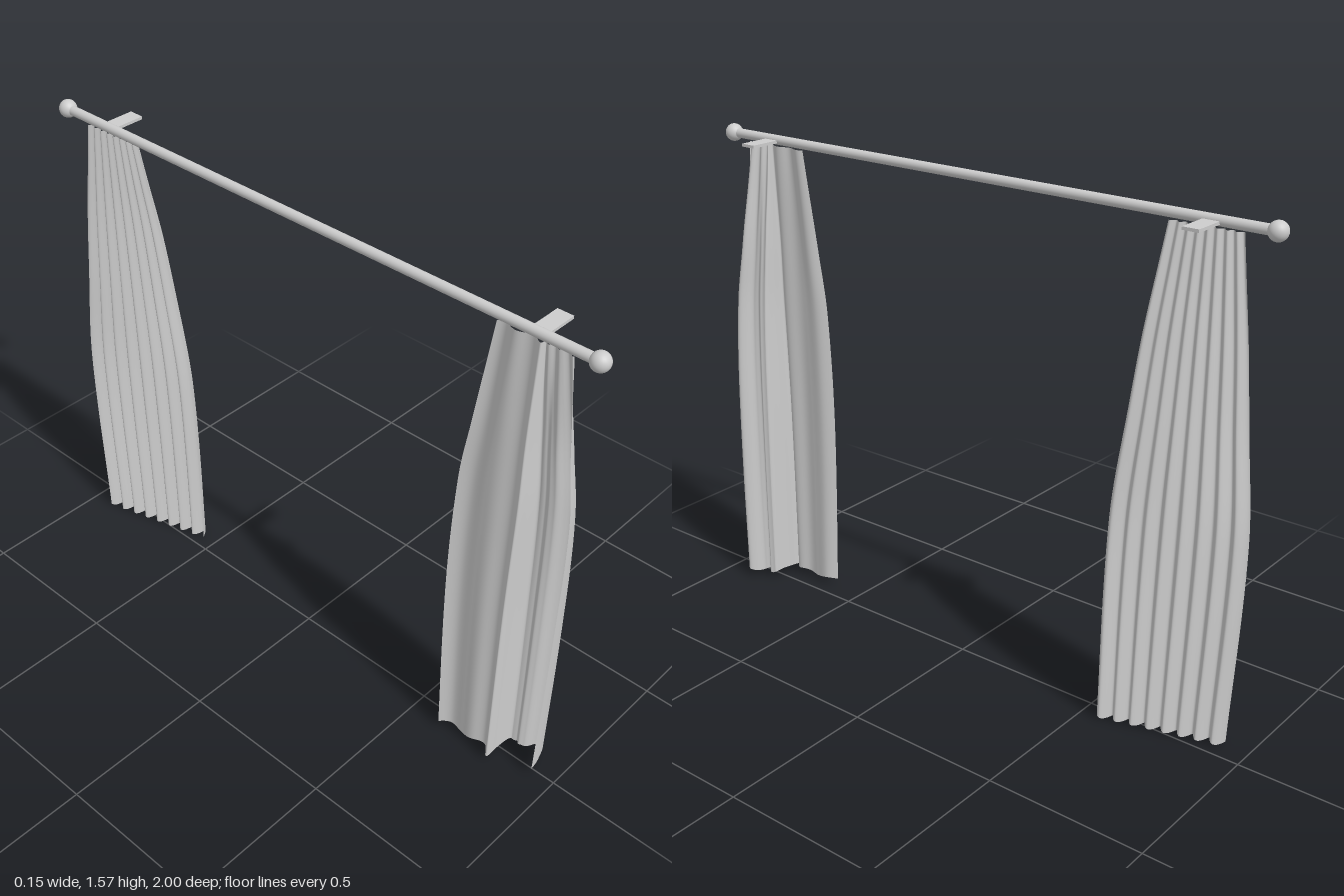
import * as THREE from 'three';

const ROD_X = -0.035, ROD_Y = 1.54;

// smooth curve through a few [position, value] pairs
function profile(pairs) {
  return (p) => {
    let i = 0;
    while (i < pairs.length - 2 && p > pairs[i + 1][0]) i++;
    const [p0, v0] = pairs[i], [p1, v1] = pairs[i + 1];
    const t = THREE.MathUtils.clamp((p - p0) / (p1 - p0), 0, 1);
    const slope = (k) => {
      const a = pairs[Math.max(k - 1, 0)], b = pairs[Math.min(k + 1, pairs.length - 1)];
      return (b[1] - a[1]) / (b[0] - a[0]) * (p1 - p0);
    };
    const t2 = t * t, t3 = t2 * t;
    return v0 * (2 * t3 - 3 * t2 + 1) + slope(i) * (t3 - 2 * t2 + t)
      + v1 * (3 * t2 - 2 * t3) + slope(i + 1) * (t3 - t2);
  };
}

// hanging sheet: edges give z by height, plan gives the folds in x along the hem
function curtain(name, { inner, outer, plan, hem, folds, ripple }, material) {
  const zIn = profile(inner), zOut = profile(outer);
  const x = new THREE.CatmullRomCurve3(plan.map(([z, px]) => new THREE.Vector3(px, 0, z)));
  const z0 = plan[0][0], z1 = plan[plan.length - 1][0];
  const spread = profile([[0, 1], [0.4, 0.95], [0.8, 0.82], [1.2, 0.5], [1.4, 0.22], [1.52, 0.06]]);
  const nu = 140, nv = 40, pos = [], index = [];
  for (let j = 0; j <= nv; j++) {
    for (let i = 0; i <= nu; i++) {
      const u = i / nu, v = j / nv;
      const p = x.getPoint(u);
      const wave = Math.sin(u * folds * Math.PI * 2);
      const y = hem + (1 - v) * ripple * wave + (1.52 - hem) * v;
      const s = (p.z - z0) / (z1 - z0);
      const z = THREE.MathUtils.lerp(zIn(y), zOut(y), s);
      const d = spread(y);
      pos.push(ROD_X + (p.x - ROD_X) * d + 0.006 * wave, y, z);
      if (i < nu && j < nv) {
        const a = j * (nu + 1) + i, b = a + nu + 1;
        index.push(a, b, a + 1, a + 1, b, b + 1);
      }
    }
  }
  const geo = new THREE.BufferGeometry();
  geo.setAttribute('position', new THREE.Float32BufferAttribute(pos, 3));
  geo.setIndex(index);
  geo.computeVertexNormals();
  const mesh = new THREE.Mesh(geo, material);
  mesh.name = name;
  return mesh;
}

export function createModel() {
  const group = new THREE.Group();
  group.name = 'curtainsOnRod';
  const metal = new THREE.MeshStandardMaterial({ color: 0xcccccc });
  metal.name = 'rod grey';
  const cloth = new THREE.MeshStandardMaterial({ color: 0xcccccc, side: THREE.DoubleSide });
  cloth.name = 'curtain grey';

  const add = (name, geo, x, y, z) => {
    const mesh = new THREE.Mesh(geo, metal);
    mesh.name = name;
    mesh.position.set(x, y, z);
    group.add(mesh);
  };

  // rod with a ball and a flat wall bracket near each end
  add('rod', new THREE.CylinderGeometry(0.015, 0.015, 1.94, 24).rotateX(Math.PI / 2), ROD_X, ROD_Y, 0);
  for (const [end, s] of [['front', 1], ['back', -1]]) {
    add(end + 'Finial', new THREE.SphereGeometry(0.028, 24, 16), ROD_X, ROD_Y, s * 0.972);
    add(end + 'Bracket', new THREE.BoxGeometry(0.115, 0.009, 0.05), 0.0225, 1.537, s * 0.79);
  }

  // front curtain: a flat panel, then a deep fold swinging out
  group.add(curtain('frontCurtain', {
    inner: [[0, 0.61], [0.6, 0.595], [1, 0.605], [1.2, 0.63], [1.52, 0.67]],
    outer: [[0, 0.93], [0.6, 0.944], [1, 0.946], [1.2, 0.925], [1.52, 0.9]],
    plan: [[0.61, -0.065], [0.65, -0.048], [0.69, -0.042], [0.73, -0.053], [0.775, -0.045],
      [0.8, -0.065], [0.806, -0.02], [0.815, 0.035], [0.83, 0.045], [0.845, 0.022],
      [0.86, 0.04], [0.88, 0.07], [0.9, 0.072], [0.92, 0.035], [0.93, -0.02]],
    hem: 0.025, folds: 5, ripple: 0.004,
  }, cloth));

  // back curtain: regular pleats on a slant
  const pleats = [];
  for (let i = 0; i <= 16; i++) {
    const t = i / 16;
    pleats.push([-0.545 - 0.375 * t, 0.05 - 0.105 * t + (i % 2 ? 0.015 : -0.015)]);
  }
  group.add(curtain('backCurtain', {
    inner: [[0, -0.545], [0.65, -0.553], [1, -0.592], [1.2, -0.615], [1.52, -0.66]],
    outer: [[0, -0.92], [0.65, -0.946], [1, -0.922], [1.2, -0.908], [1.52, -0.88]],
    plan: pleats, hem: 0.008, folds: 8, ripple: 0.006,
  }, cloth));

  return group;
}
